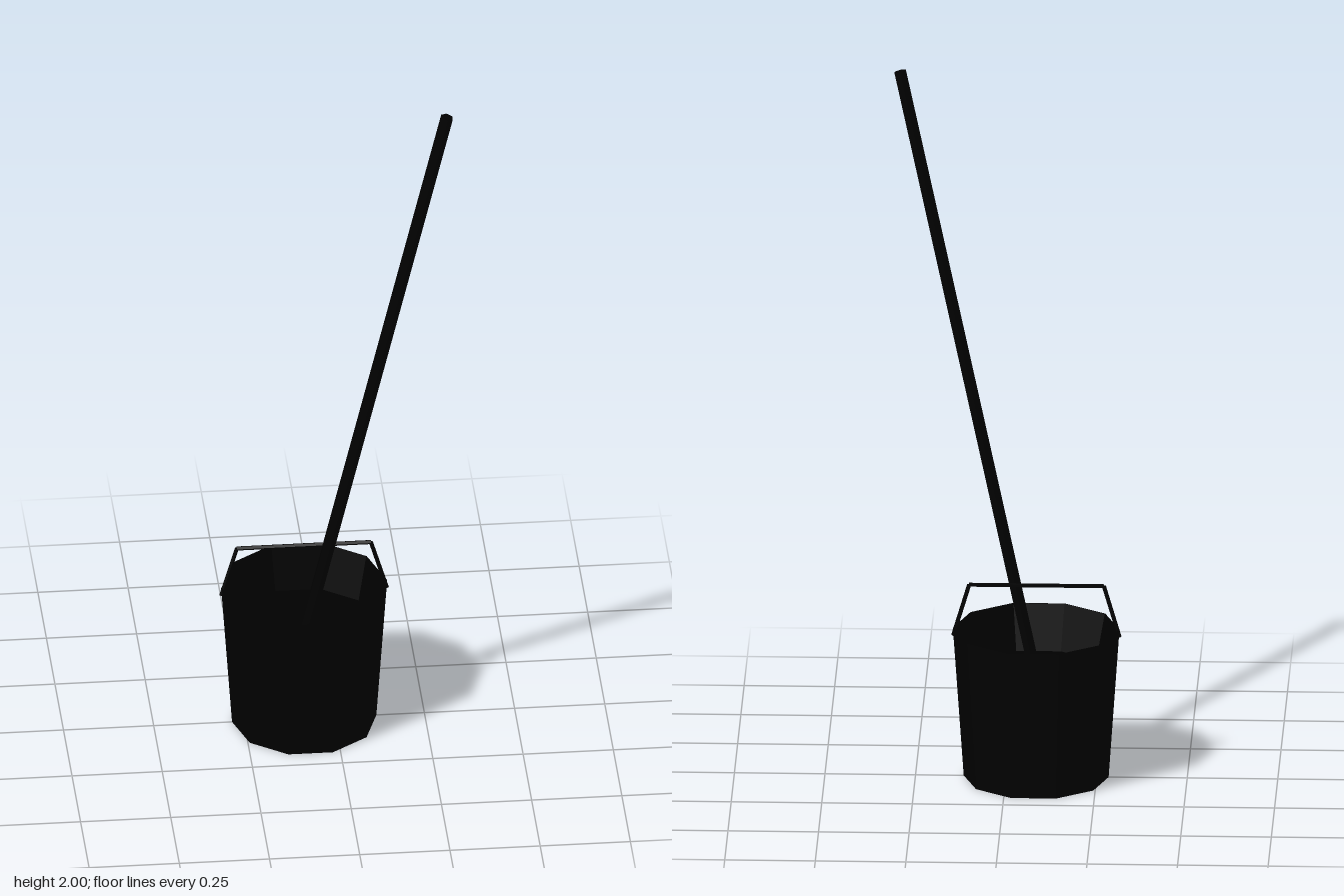
import * as THREE from 'three';

const black = new THREE.MeshStandardMaterial({ color: 0x000000, flatShading: true });
black.name = 'black';

const v = (x, y, z) => new THREE.Vector3(x, y, z);

// Straight rod with a given number of sides between two points
function rod(name, a, b, radius, sides) {
  const dir = b.clone().sub(a);
  const mesh = new THREE.Mesh(new THREE.CylinderGeometry(radius, radius, dir.length(), sides), black);
  mesh.name = name;
  mesh.position.copy(a).add(b).multiplyScalar(0.5);
  mesh.quaternion.setFromUnitVectors(v(0, 1, 0), dir.normalize());
  return mesh;
}

export function createModel() {
  const model = new THREE.Group();
  model.name = 'mopBucket';
  const cx = -0.083;

  // Ten-sided tapered bucket: underside, outer wall, thin rim, inner wall
  const wall = [[0, 0], [0.2, 0], [0.23, 0.43], [0.228, 0.43], [0.2, 0.3]];
  const bucket = new THREE.Mesh(
    new THREE.LatheGeometry(wall.map(p => new THREE.Vector2(...p)), 10, Math.PI / 2), black);
  bucket.name = 'bucket';
  bucket.position.x = cx;
  model.add(bucket);

  // Surface of the water inside
  const water = new THREE.Mesh(new THREE.CircleGeometry(0.2, 10), black);
  water.name = 'water';
  water.rotation.x = -Math.PI / 2;
  water.position.set(cx, 0.3, 0);
  model.add(water);

  // Angular wire handle
  const handle = new THREE.Group();
  handle.name = 'handle';
  const path = [v(-0.313, 0.408, 0), v(-0.27, 0.555, 0), v(0.102, 0.555, 0), v(0.146, 0.408, 0)];
  for (let i = 0; i < 3; i++) {
    handle.add(rod(i === 1 ? 'handleGrip' : 'handleArm', path[i], path[i + 1], 0.006, 5));
  }
  model.add(handle);

  // Long leaning pole
  model.add(rod('pole', v(-0.083, 0.28, 0.013), v(0.298, 1.996, 0.155), 0.018, 6));
  return model;
}
